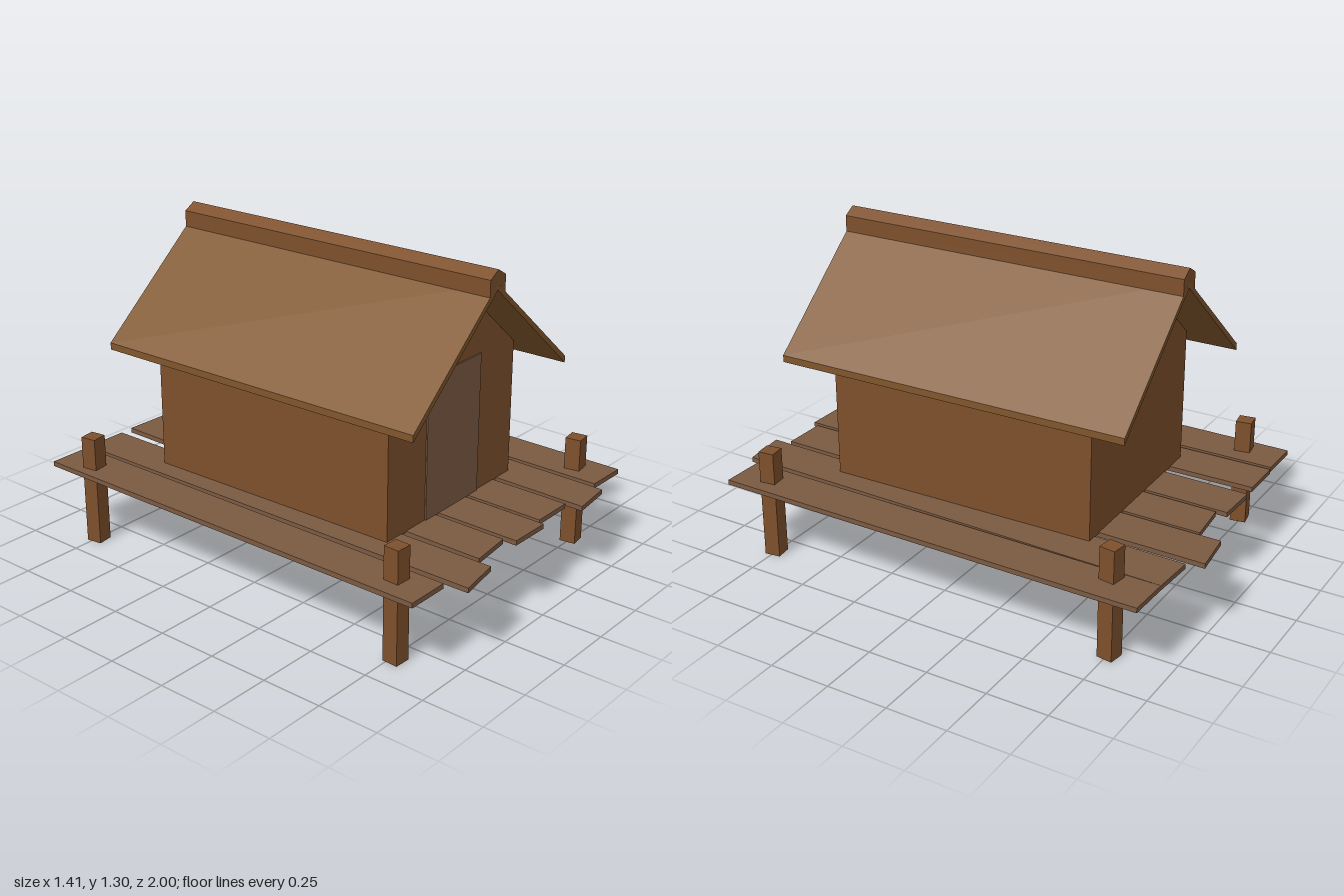
import * as THREE from 'three';

const mat = (name, color) => {
  const m = new THREE.MeshStandardMaterial({ color });
  m.name = name;
  return m;
};

// Solid prism from a flat outline
function prism(points, depth) {
  const shape = new THREE.Shape(points.map(([x, y]) => new THREE.Vector2(x, y)));
  return new THREE.ExtrudeGeometry(shape, { depth, bevelEnabled: false });
}

export function createModel() {
  const wood = mat('wallWood', 0x7e502c);
  const roofWood = mat('roofWood', 0x80562b);
  const plankWood = mat('plankWood', 0x7b5a42);

  const model = new THREE.Group();
  model.name = 'dockHut';
  const add = (parent, name, geometry, material) => {
    const mesh = new THREE.Mesh(geometry, material);
    mesh.name = name;
    parent.add(mesh);
    return mesh;
  };

  // Uneven deck planks: [back left, back right, front right, front left] as x, z
  const deck = new THREE.Group();
  deck.name = 'deck';
  model.add(deck);
  const planks = [
    [[-0.705, -0.905], [-0.525, -0.905], [-0.525, 0.915], [-0.705, 0.915]],
    [[-0.508, -0.91], [-0.325, -0.91], [-0.317, 0.97], [-0.498, 1.0]],
    [[-0.265, -0.915], [-0.085, -0.91], [-0.115, 0.885], [-0.297, 0.905]],
    [[-0.07, -0.87], [0.112, -0.887], [0.084, 0.932], [-0.096, 0.93]],
    [[0.127, -0.98], [0.31, -1.0], [0.283, 0.902], [0.102, 0.902]],
    [[0.346, -0.94], [0.526, -0.93], [0.482, 0.945], [0.302, 0.965]],
    [[0.527, -0.93], [0.703, -0.925], [0.688, 0.897], [0.508, 0.895]],
  ];
  planks.forEach((quad, i) => {
    const g = prism(quad.map(([x, z]) => [x, -z]), 0.02);
    g.rotateX(-Math.PI / 2);
    add(deck, `plank${i + 1}`, g, plankWood).position.y = 0.305;
  });

  // Slightly twisted corner posts: x, z, turn
  [[-0.63, -0.742, 0.15], [0.57, -0.757, -0.15],
    [-0.603, 0.77, -0.05], [0.598, 0.749, 0.13]].forEach(([x, z, turn], i) => {
    const post = add(model, `post${i + 1}`, new THREE.BoxGeometry(0.065, 0.457, 0.065), wood);
    post.position.set(x, 0.2285, z);
    post.rotation.y = turn;
  });

  // House sits a little askew on the deck
  const house = new THREE.Group();
  house.name = 'house';
  house.position.set(-0.0135, 0, 0.005);
  house.rotation.y = 0.017;
  model.add(house);

  // Gabled walls
  const wallHalf = 0.563;
  add(house, 'walls', prism([
    [-0.403, 0.32], [0.403, 0.32], [0.403, 0.878], [0, 1.22], [-0.403, 0.878],
  ], wallHalf * 2), wood).position.z = -wallHalf;

  // Door panel on the front wall
  add(house, 'door', new THREE.BoxGeometry(0.34, 0.572, 0.008), plankWood)
    .position.set(0, 0.609, wallHalf + 0.002);

  // Overhanging roof and ridge cap
  const roofHalf = 0.739;
  add(house, 'roof', prism([
    [-0.498, 0.8], [0, 1.222], [0.498, 0.8], [0.498, 0.828], [0, 1.246], [-0.498, 0.828],
  ], roofHalf * 2), roofWood).position.z = -roofHalf;
  add(house, 'ridgeCap', prism([
    [-0.049, 1.205], [0, 1.246], [0.049, 1.205], [0.049, 1.27], [0, 1.299], [-0.049, 1.27],
  ], roofHalf * 2), wood).position.z = -roofHalf;

  return model;
}
